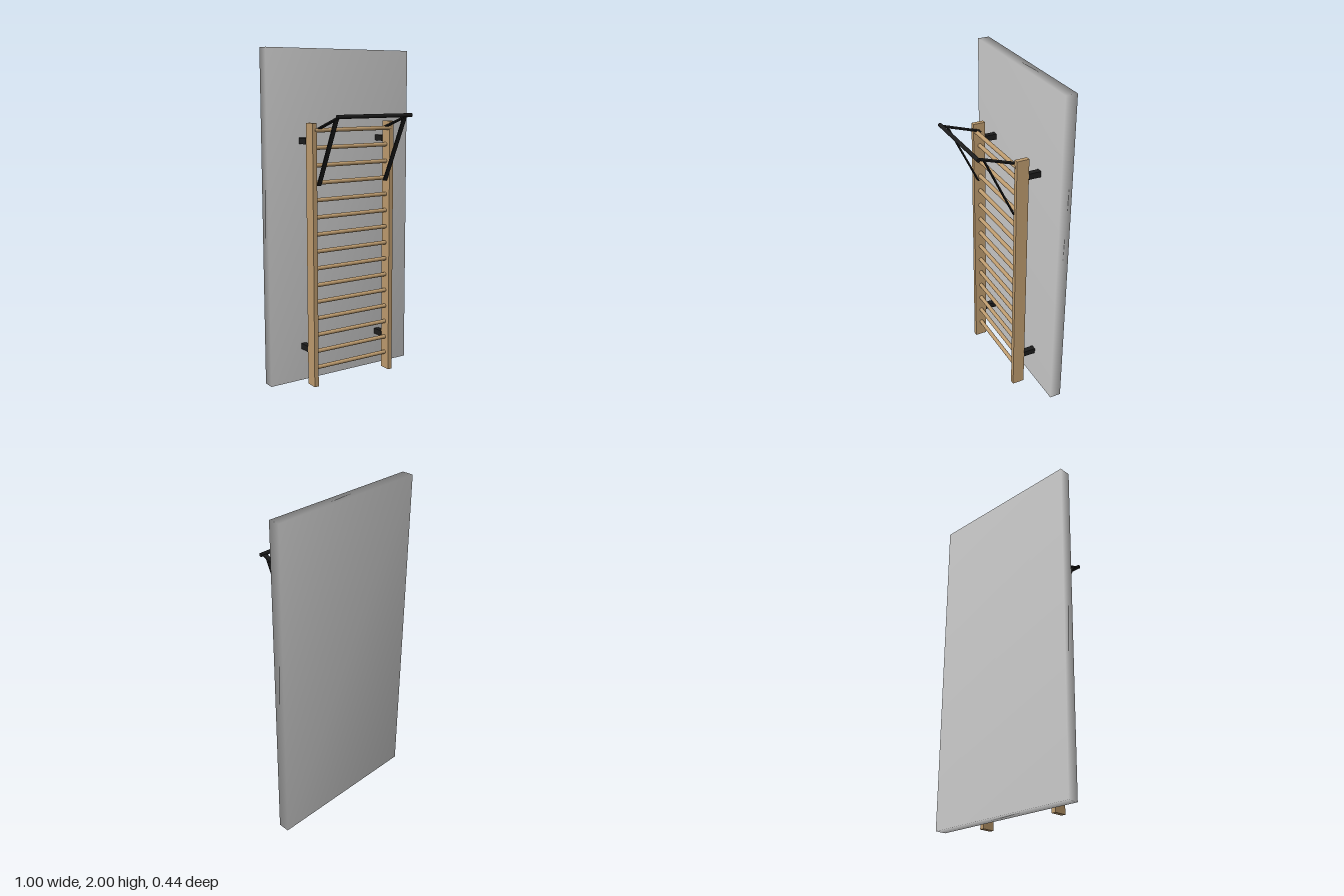
import * as THREE from 'three';
import { mergeVertices } from 'three/addons/utils/BufferGeometryUtils.js';

const material = (name, color) => Object.assign(new THREE.MeshStandardMaterial({ color }), { name });

export function createModel() {
  const wood = material('wood', 0xbd9b6e);
  const black = material('black metal', 0x1c1c1c);
  const grey = material('grey wall', 0xcccccc);
  const model = new THREE.Group();
  model.name = 'wallBars';

  const add = (name, geometry, mat, x, y, z) => {
    const mesh = new THREE.Mesh(geometry, mat);
    mesh.name = name;
    mesh.position.set(x, y, z);
    model.add(mesh);
    return mesh;
  };
  const rod = (name, radius, length, mat, y, z) =>
    add(name, new THREE.CylinderGeometry(radius, radius, length, 20), mat, 0, y, z).rotation.z = Math.PI / 2;
  // Flat bar between two points given as [y, z]
  const strip = (name, x, [y0, z0], [y1, z1]) => {
    const length = Math.hypot(y1 - y0, z1 - z0);
    const bar = add(name, new THREE.BoxGeometry(0.027, 0.008, length), black, x, (y0 + y1) / 2, (z0 + z1) / 2);
    bar.rotation.x = -Math.atan2(y1 - y0, z1 - z0);
  };

  // Wall panel with corner normals shared across its faces
  let panel = new THREE.BoxGeometry(1, 2, 0.07);
  panel.deleteAttribute('normal');
  panel.deleteAttribute('uv');
  panel = mergeVertices(panel);
  panel.computeVertexNormals();
  add('wallPanel', panel, grey, 0, 1, -0.187);

  // Posts, wall brackets and pull-up arms on both sides
  for (const [side, s] of [['left', 1], ['right', -1]]) {
    add(side + 'Post', new THREE.BoxGeometry(0.028, 1.575, 0.075), wood, s * 0.272, 0.7875, -0.04);
    for (const y of [0.217, 1.468])
      add(side + 'Bracket', new THREE.BoxGeometry(0.033, 0.035, 0.077), black, s * 0.272, y, -0.115);
    strip(side + 'UpperArm', s * 0.236, [1.536, -0.035], [1.617, 0.211]);
    strip(side + 'Brace', s * 0.236, [1.215, -0.018], [1.602, 0.172]);
  }

  // Rungs between the posts, with the top one set forward
  for (let i = 0; i < 14; i++) rod('rung', 0.0125, 0.525, wood, 0.106 + i * 0.102, -0.042);
  rod('topRung', 0.0125, 0.54, wood, 1.534, -0.011);

  // Pull-up bar
  rod('pullUpBar', 0.0115, 0.514, black, 1.617, 0.2105);
  return model;
}
